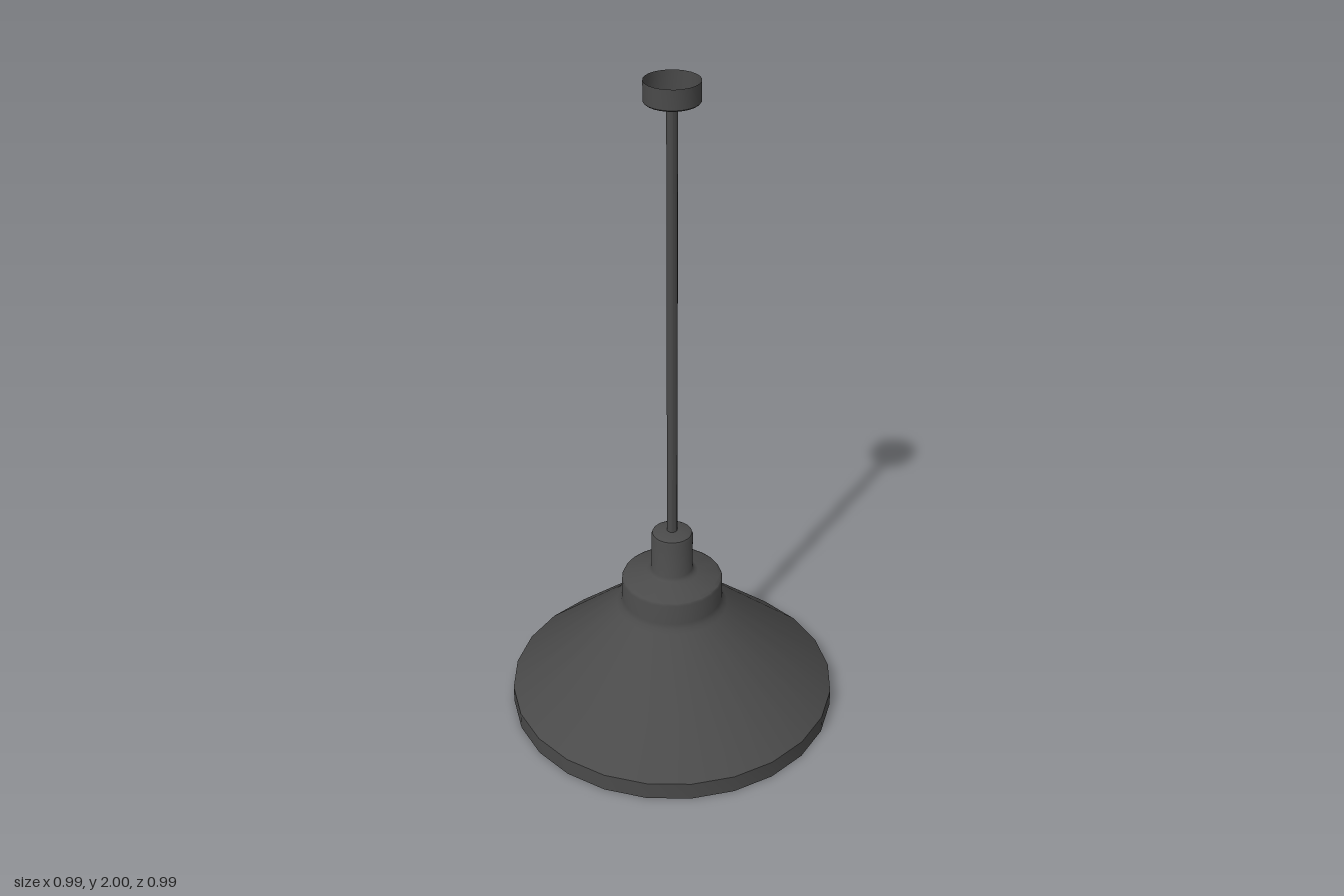
import * as THREE from 'three';
import { toCreasedNormals } from 'three/addons/utils/BufferGeometryUtils.js';

const SIDES = 24;

export function createModel() {
  const lamp = new THREE.Group();
  lamp.name = 'pendantLamp';

  const darkMetal = new THREE.MeshStandardMaterial({ color: 0x4a4a4a, side: THREE.DoubleSide });
  darkMetal.name = 'dark metal';
  const whiteEnamel = new THREE.MeshStandardMaterial({ color: 0xe4e1d6 });
  whiteEnamel.name = 'white enamel';
  const bulbGlass = new THREE.MeshStandardMaterial({ color: 0xe6e4de });
  bulbGlass.name = 'bulb glass';

  // Spins a profile of [radius, height] pairs around the y axis
  function turned(name, profile, material, sides = SIDES) {
    const points = profile.map(([r, y]) => new THREE.Vector2(r, y));
    const geometry = toCreasedNormals(new THREE.LatheGeometry(points, sides), 0.6);
    const mesh = new THREE.Mesh(geometry, material);
    mesh.name = name;
    lamp.add(mesh);
  }

  // Shade: rim band, cone, stepped collar and socket cover
  turned('shadeOuter', [
    [0.485, 0], [0.495, 0], [0.495, 0.055],
    [0.168, 0.345], [0.157, 0.357], [0.152, 0.372],
    [0.152, 0.436], [0.149, 0.443], [0.14, 0.449],
    [0.078, 0.461], [0.068, 0.466], [0.062, 0.476],
    [0.062, 0.592], [0.059, 0.6], [0.05, 0.605], [0.015, 0.608],
  ], darkMetal);

  // Lining: listed from top to bottom so that it faces inward
  turned('shadeLining', [
    [0.015, 0.596], [0.052, 0.592], [0.052, 0.47], [0.066, 0.452], [0.142, 0.436],
    [0.142, 0.368], [0.16, 0.338], [0.485, 0.05], [0.485, 0],
  ], whiteEnamel);

  // Bulb with its neck running up into the socket cover
  turned('bulb', [
    [0, 0.012], [0.03, 0.018], [0.054, 0.036], [0.071, 0.063], [0.077, 0.095],
    [0.071, 0.125], [0.056, 0.152], [0.04, 0.175], [0.031, 0.198], [0.028, 0.23],
    [0.028, 0.27], [0.035, 0.282], [0.035, 0.48], [0, 0.48],
  ], bulbGlass);

  // Hollow rod
  turned('rod', [[0.0155, 0.6], [0.0155, 1.945]], darkMetal, 12);

  // Ceiling canopy: a cup open at the top
  turned('canopy', [
    [0.015, 1.94], [0.073, 1.94], [0.077, 1.944], [0.077, 2],
  ], darkMetal);

  return lamp;
}
